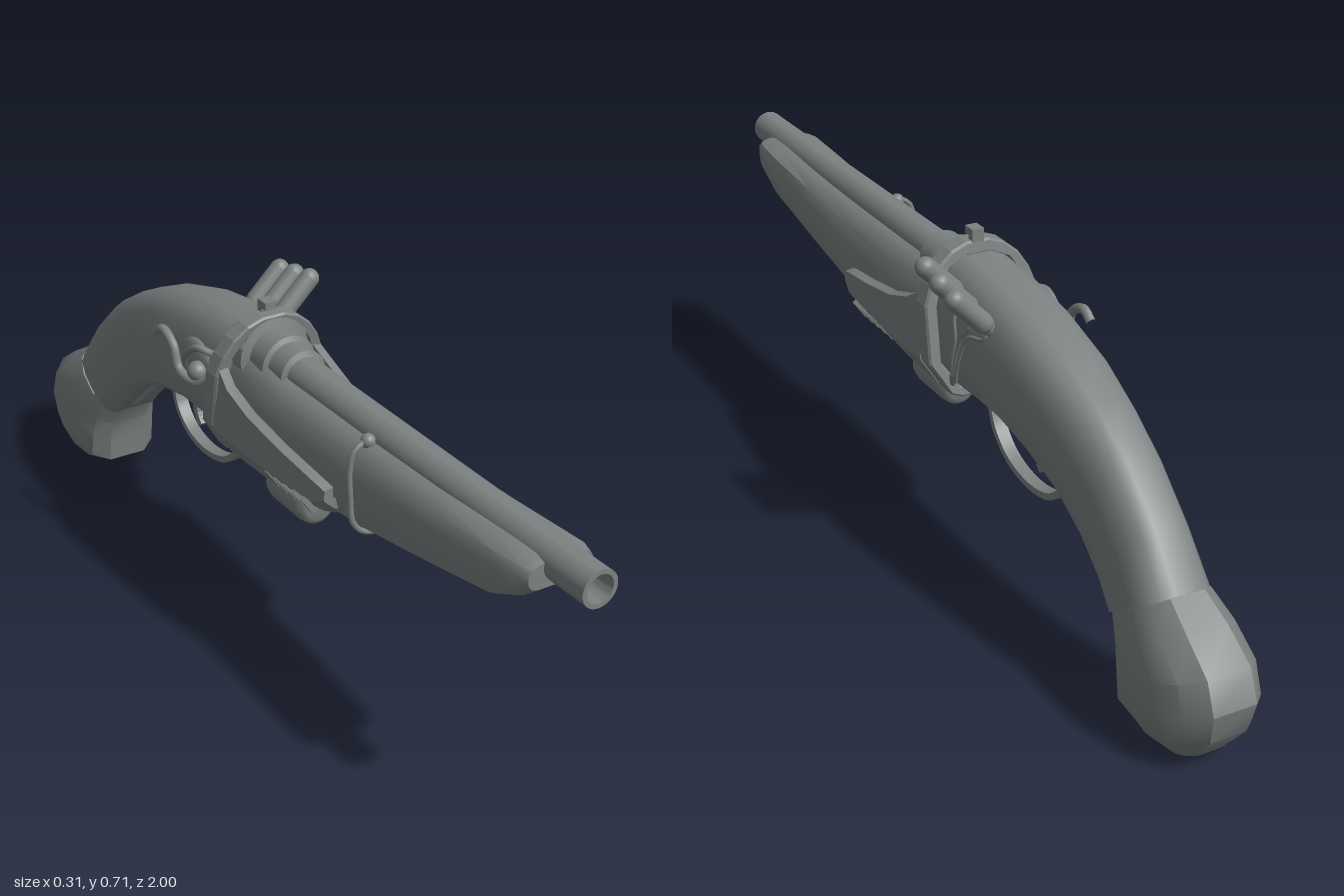
import * as THREE from 'three';
import { toCreasedNormals } from 'three/addons/utils/BufferGeometryUtils.js';

const V = (x, y, z) => new THREE.Vector3(x, y, z);

export function createModel() {
  const root = new THREE.Group();
  root.name = 'pistol';
  const mat = new THREE.MeshStandardMaterial({ color: 0x7c8281 });
  const add = (name, geo, pos) => {
    const m = new THREE.Mesh(geo, mat);
    m.name = name;
    if (pos) m.position.set(...pos);
    root.add(m);
    return m;
  };

  // Skin over matching rings, ordered front to back, each counter-clockwise seen from +z
  const loft = (rings, crease = 0.6) => {
    const n = rings[0].length, pos = rings.flat().flatMap(p => p.toArray()), idx = [];
    for (let i = 0; i < rings.length - 1; i++) {
      for (let j = 0; j < n; j++) {
        const a = i * n + j, b = i * n + (j + 1) % n, d = a + n, c = b + n;
        idx.push(a, d, b, b, d, c);
      }
    }
    const cap = (ring, off, flip) => {
      const flat = ring.map(p => new THREE.Vector2(p.x, p.y));
      for (const [a, b, c] of THREE.ShapeUtils.triangulateShape(flat, [])) {
        idx.push(off + a, off + (flip ? c : b), off + (flip ? b : c));
      }
    };
    cap(rings[0], 0, false);
    cap(rings[rings.length - 1], (rings.length - 1) * n, true);
    const g = new THREE.BufferGeometry();
    g.setAttribute('position', new THREE.Float32BufferAttribute(pos, 3));
    g.setIndex(idx);
    return toCreasedNormals(g, crease);
  };

  // Chamfered sections [across, height fraction], bottom to top; each body section is
  // top z, top y, bottom z, bottom y, half width
  const roundHalf = [[0.66, 0], [0.88, 0.08], [1, 0.3], [1, 0.62], [0.9, 0.82], [0.64, 0.95], [0.3, 1]];
  const buttHalf = [[0.45, 0], [0.8, 0.1], [1, 0.33], [1, 0.64], [0.82, 0.86], [0.45, 1]];
  const body = (half, sections) => {
    const outline = [...half, ...half.map(([u, v]) => [-u, v]).reverse()];
    return loft(sections.map(([tz, ty, bz, by, w]) =>
      outline.map(([u, v]) => V(u * w, by + (ty - by) * v, bz + (tz - bz) * v))));
  };

  // Fore stock
  add('foreStock', body(roundHalf, [
    [0.9, 0.612, 0.9, 0.56, 0.068], [0.875, 0.618, 0.87, 0.535, 0.077], [0.8, 0.618, 0.8, 0.5, 0.08],
    [0.6, 0.612, 0.6, 0.46, 0.081], [0.4, 0.61, 0.4, 0.425, 0.084], [0.1, 0.612, 0.1, 0.4, 0.086],
    [-0.06, 0.63, -0.09, 0.395, 0.088],
  ]));

  // Curved grip, then its bulbous butt
  add('grip', body(roundHalf, [
    [-0.05, 0.664, -0.09, 0.395, 0.09], [-0.2, 0.653, -0.2, 0.4, 0.09], [-0.32, 0.633, -0.3, 0.4, 0.09],
    [-0.44, 0.598, -0.4, 0.38, 0.087], [-0.56, 0.545, -0.5, 0.342, 0.079], [-0.66, 0.485, -0.58, 0.288, 0.074],
    [-0.76, 0.395, -0.64, 0.235, 0.073], [-0.84, 0.295, -0.685, 0.19, 0.077],
  ]));
  add('butt', body(buttHalf, [
    [-0.84, 0.298, -0.685, 0.19, 0.08], [-0.905, 0.26, -0.715, 0.142, 0.095], [-0.975, 0.212, -0.724, 0.09, 0.101],
    [-1, 0.15, -0.73, 0.038, 0.101], [-0.985, 0.085, -0.79, 0.014, 0.084], [-0.935, 0.02, -0.85, 0.0, 0.05],
  ]));

  // Hollow barrel with stepped breech
  const profile = [[0, -0.06], [0.08, -0.06], [0.08, -0.025], [0.062, -0.02], [0.062, 0.03], [0.052, 0.035],
    [0.052, 0.085], [0.041, 0.09], [0.037, 0.95], [0.037, 1], [0.028, 1], [0.026, 0.85], [0, 0.85]];
  const barrel = new THREE.LatheGeometry(profile.map(p => new THREE.Vector2(...p)), 32);
  barrel.rotateX(Math.PI / 2);
  add('barrel', toCreasedNormals(barrel, 0.6), [0, 0.602, 0]);

  // Angular frame around the breech, leaning back toward the bottom
  const mirrored = pts => [...pts, ...pts.map(([x, y]) => [-x, y]).reverse()].map(p => new THREE.Vector2(...p));
  const frameShape = new THREE.Shape(mirrored([[0.06, 0.375], [0.085, 0.385], [0.128, 0.455], [0.128, 0.575],
    [0.113, 0.615], [0.09, 0.65], [0.06, 0.675], [0.025, 0.688]]));
  frameShape.holes.push(new THREE.Path(mirrored([[0.062, 0.4], [0.101, 0.455], [0.101, 0.57], [0.088, 0.61],
    [0.066, 0.642], [0.025, 0.66]])));
  const frame = new THREE.ExtrudeGeometry(frameShape, { depth: 0.035, bevelThickness: 0.005, bevelSize: 0.004,
    bevelOffset: -0.004, bevelSegments: 1 });
  const fp = frame.attributes.position;
  for (let i = 0; i < fp.count; i++) fp.setZ(i, fp.getZ(i) - 0.09 + (fp.getY(i) - 0.53) * 0.16);
  frame.computeVertexNormals();
  add('frame', frame);

  // Low lugs along the frame arch
  for (let i = -3; i <= 3; i++) {
    const a = i * 0.32;
    const lug = add('frameLug', new THREE.BoxGeometry(0.014, 0.016, 0.016),
      [Math.sin(a) * 0.084, 0.59 + Math.cos(a) * 0.08, -0.034]);
    lug.rotation.z = -a;
  }

  // Rear sight
  add('sightBlade', new THREE.BoxGeometry(0.026, 0.05, 0.016), [0, 0.687, -0.062]);
  add('sightHood', new THREE.BoxGeometry(0.026, 0.016, 0.032), [0, 0.704, -0.054]);

  // Open-topped guard shell sweeping up into the frame: z, rim y, knee y, bottom y, half width
  const shell = [[0.335, 0.49, 0.468, 0.435, 0.108], [0.3, 0.502, 0.455, 0.412, 0.116], [0.2, 0.517, 0.452, 0.393, 0.122],
    [0.08, 0.538, 0.45, 0.38, 0.126], [0, 0.565, 0.45, 0.377, 0.127], [-0.06, 0.6, 0.45, 0.376, 0.127]];
  add('guardShell', loft(shell.map(([z, rim, knee, bot, w]) => {
    const top = w - Math.max(0, rim - 0.565) * 0.25;
    const outer = [[top, rim], [w, knee], [0.086, bot + 0.012], [0.06, bot]];
    const inner = outer.map(([x, y], i) => [x - (i < 3 ? 0.02 : 0.006), y + (i < 2 ? 0.004 : 0.016)]);
    const flip = a => a.map(([x, y]) => [-x, y]);
    return [...flip(outer), ...outer.slice().reverse(), ...inner, ...flip(inner).reverse()].map(([x, y]) => V(x, y, z));
  }), 0.3));

  // Vent ribs on the shell's lower corners
  for (const s of [-1, 1]) {
    for (let i = 0; i < 5; i++) {
      const rib = add('ventRib', new THREE.BoxGeometry(0.012, 0.045, 0.013), [s * 0.102, 0.427, 0.14 + i * 0.032]);
      rib.rotation.z = -s * 0.62;
    }
  }

  // Flat strip following a side curve of [z, y], as thick as given and centred on x
  const strip = (pts, thick, width) => {
    const curve = new THREE.CatmullRomCurve3(pts.map(([z, y]) => V(z, y, 0)));
    const a = [], b = [];
    for (let i = 0; i <= 36; i++) {
      const p = curve.getPoint(i / 36), t = curve.getTangent(i / 36);
      a.push(new THREE.Vector2(p.x - t.y * thick / 2, p.y + t.x * thick / 2));
      b.unshift(new THREE.Vector2(p.x + t.y * thick / 2, p.y - t.x * thick / 2));
    }
    const g = new THREE.ExtrudeGeometry(new THREE.Shape([...a, ...b]), { depth: width, bevelEnabled: false });
    g.translate(0, 0, -width / 2).rotateY(-Math.PI / 2);
    return toCreasedNormals(g, 0.6);
  };
  add('triggerGuard', strip([[-0.1, 0.395], [-0.135, 0.375], [-0.165, 0.315], [-0.22, 0.27], [-0.31, 0.251], [-0.39, 0.268],
    [-0.435, 0.31], [-0.445, 0.35], [-0.425, 0.385]], 0.014, 0.028));
  add('guardFoot', strip([[-0.1, 0.39], [-0.125, 0.385], [-0.15, 0.36]], 0.026, 0.026));
  add('guardTail', strip([[-0.44, 0.345], [-0.5, 0.348], [-0.56, 0.302], [-0.62, 0.247], [-0.67, 0.212]], 0.014, 0.024));
  add('trigger', strip([[-0.325, 0.41], [-0.335, 0.375], [-0.355, 0.345], [-0.35, 0.32], [-0.335, 0.302]], 0.018, 0.018));
  add('triggerStop', strip([[-0.36, 0.4], [-0.378, 0.378], [-0.368, 0.35]], 0.014, 0.016));

  // Rounded canister below, with its mount
  const can = new THREE.LatheGeometry([[0, -0.005], [0.03, -0.003], [0.042, 0.008], [0.045, 0.025], [0.045, 0.125],
    [0.042, 0.142], [0.03, 0.152], [0, 0.155]].map(p => new THREE.Vector2(...p)), 24);
  can.rotateX(Math.PI / 2).scale(1, 1.08, 1);
  add('canister', can, [0, 0.334, 0]);
  add('canisterMount', new THREE.BoxGeometry(0.03, 0.03, 0.08), [0, 0.38, 0.075]);

  // Hoses and wires
  const tube = (name, r, pts) => add(name, new THREE.TubeGeometry(
    new THREE.CatmullRomCurve3(pts.map(p => V(...p))), 40, r, 8));
  tube('hose', 0.006, [[0, 0.362, 0.15], [0.005, 0.37, 0.18], [0.03, 0.374, 0.25], [0.05, 0.392, 0.34], [0.04, 0.41, 0.4],
    [0, 0.416, 0.405], [-0.06, 0.421, 0.4], [-0.084, 0.448, 0.397], [-0.088, 0.5, 0.394], [-0.088, 0.555, 0.39],
    [-0.078, 0.595, 0.39], [-0.055, 0.61, 0.39]]);
  add('hoseEnd', new THREE.SphereGeometry(0.015, 16, 12), [-0.048, 0.608, 0.39]);
  tube('lowerHose', 0.006, [[0, 0.36, 0.005], [0.01, 0.367, -0.02], [0.04, 0.378, -0.06], [0.075, 0.4, -0.105],
    [0.09, 0.44, -0.13]]);

  // Three angled cartridges with sockets and feed wires on the left side
  const dir = V(0.71, 0.7, 0).normalize();
  for (let i = 0; i < 3; i++) {
    const z = -0.145 - i * 0.06;
    const end = V(0.157, 0.69 - i * 0.011, z);
    const cartridge = add('cartridge', new THREE.CapsuleGeometry(0.021, 0.085, 6, 16));
    cartridge.quaternion.setFromUnitVectors(V(0, 1, 0), dir);
    cartridge.position.copy(end).addScaledVector(dir, -0.0425);
    const socket = add('cartridgeSocket', new THREE.CylinderGeometry(0.017, 0.014, 0.04, 12));
    socket.quaternion.copy(cartridge.quaternion);
    socket.position.copy(end).addScaledVector(dir, -0.1);
    tube('feedWire', 0.004, [[0.08, 0.6, z], [0.09, 0.57, z + 0.005], [0.091, 0.525 + i * 0.01, -0.145 - i * 0.025],
      [0.091, 0.47, -0.13 - i * 0.012], [0.084, 0.42, -0.12 - i * 0.006]]);
  }

  // Lock and cocking hook on the right side
  const plate = add('lockPlate', new THREE.SphereGeometry(0.045, 20, 12), [-0.086, 0.55, -0.19]);
  plate.scale.set(0.35, 0.9, 1.3);
  tube('hook', 0.01, [[-0.095, 0.53, -0.13], [-0.115, 0.512, -0.16], [-0.123, 0.525, -0.21], [-0.124, 0.57, -0.23],
    [-0.125, 0.592, -0.27], [-0.125, 0.575, -0.3]]);
  tube('lockSpring', 0.008, [[-0.09, 0.585, -0.12], [-0.108, 0.592, -0.15], [-0.11, 0.56, -0.2], [-0.098, 0.515, -0.24]]);
  add('hookPivot', new THREE.SphereGeometry(0.022, 16, 12), [-0.106, 0.535, -0.16]);

  root.position.x = -0.022;
  const model = new THREE.Group();
  model.add(root);
  return model;
}
